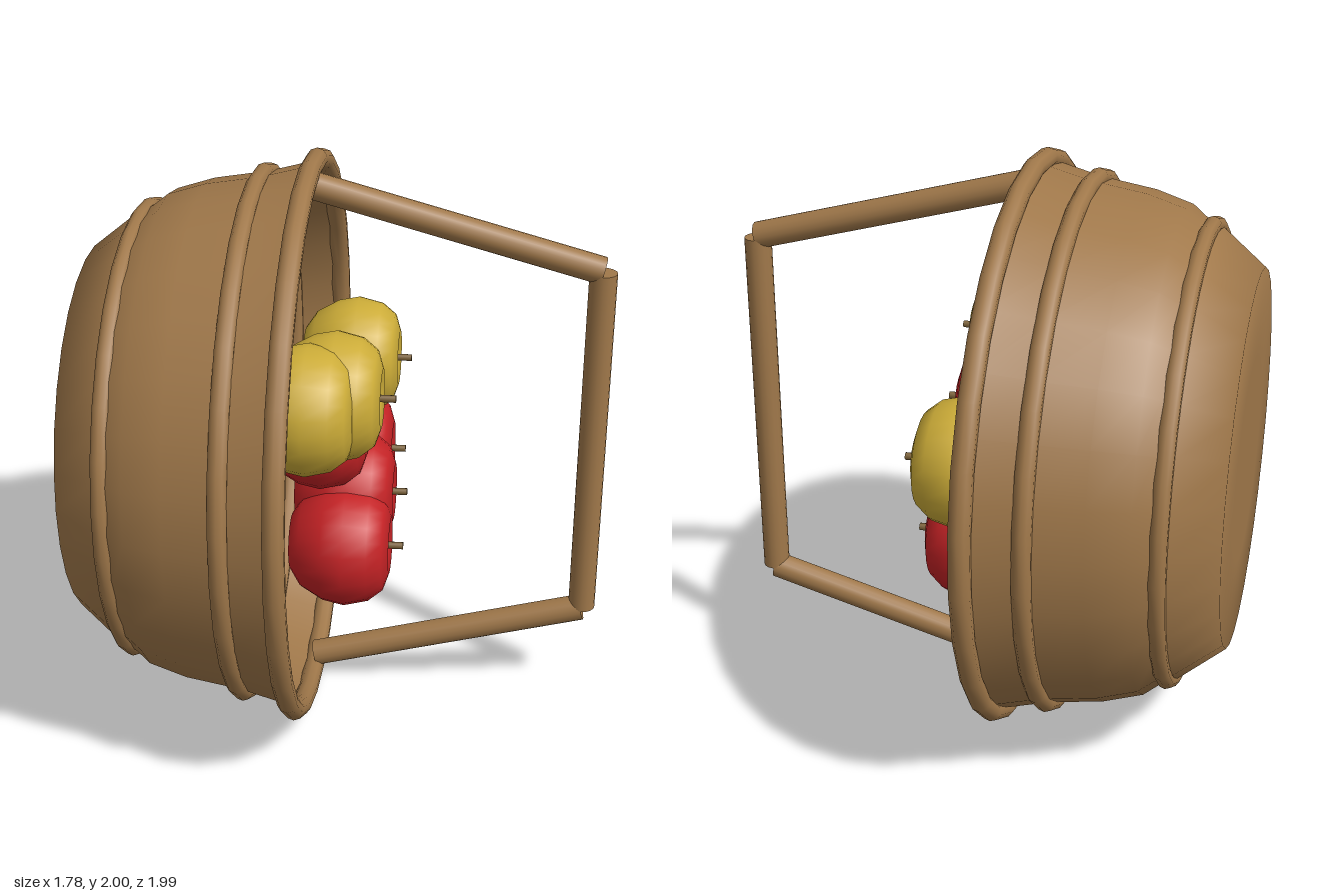
import * as THREE from 'three';

const mat = (name, color, side = THREE.FrontSide) => {
  const m = new THREE.MeshStandardMaterial({ color, side });
  m.name = name;
  return m;
};
const v2 = ([r, h]) => new THREE.Vector2(r, h);

export function createModel() {
  const model = new THREE.Group();
  model.name = 'tippedFruitBasket';
  const wood = mat('wickerBrown', 0xa0784a, THREE.DoubleSide);
  const red = mat('appleRed', 0xc42225);
  const yellow = mat('appleYellow', 0xccac38);
  const stemBrown = mat('stemBrown', 0x7d6238);

  const add = (parent, name, geometry, material) => {
    const mesh = new THREE.Mesh(geometry, material);
    mesh.name = name;
    parent.add(mesh);
    return mesh;
  };

  // Basket lies on its side: its upright axis is turned to point along +x
  const basket = new THREE.Group();
  basket.name = 'basket';
  basket.position.y = 1;
  basket.rotation.z = -Math.PI / 2;
  model.add(basket);

  // Thin bowl wall with a flat base
  const wall = [[0, -0.89], [0.35, -0.89], [0.65, -0.89], [0.77, -0.74], [0.8, -0.68],
    [0.84, -0.63], [0.88, -0.5], [0.91, -0.31], [0.955, -0.135]].map(v2);
  add(basket, 'bowl', new THREE.LatheGeometry(wall, 30), wood);

  // Rim and two raised bands
  for (const [name, radius, tube, h] of [['rim', 0.962, 0.036, -0.135],
    ['upperBand', 0.91, 0.032, -0.315], ['lowerBand', 0.78, 0.03, -0.71]]) {
    const ring = add(basket, name, new THREE.TorusGeometry(radius, tube, 10, 30), wood);
    ring.rotation.x = Math.PI / 2;
    ring.position.y = h;
  }

  // Handle: two slanted arms joined by a straight grip
  const rod = (name, a, b) => {
    const from = new THREE.Vector3(...a), to = new THREE.Vector3(...b);
    const dir = to.clone().sub(from);
    const mesh = add(model, name, new THREE.CylinderGeometry(0.047, 0.047, dir.length(), 16), wood);
    mesh.position.copy(from).add(to).multiplyScalar(0.5);
    mesh.quaternion.setFromUnitVectors(new THREE.Vector3(0, 1, 0), dir.normalize());
  };
  for (const s of [1, -1]) {
    rod(s > 0 ? 'upperHandleArm' : 'lowerHandleArm',
      [-0.13, 1 + s * 0.915, 0], [0.84, 1 + s * 0.652, 0]);
  }
  rod('handleGrip', [0.842, 0.355, 0], [0.842, 1.645, 0]);

  // Apples: dimpled lathe bodies with short stems, all facing out of the basket
  const profile = [[0, -0.15], [0.05, -0.19], [0.1, -0.195], [0.16, -0.155], [0.205, -0.075],
    [0.22, 0], [0.2, 0.085], [0.16, 0.135], [0.1, 0.155], [0.05, 0.145], [0.02, 0.115], [0, 0.1]].map(v2);
  const body = new THREE.LatheGeometry(profile, 24);
  const stem = new THREE.CylinderGeometry(0.013, 0.013, 0.12, 8);
  const apples = [
    [red, 0, 0.64, 0.13], [red, 0, 0.765, -0.04], [red, -0.03, 0.78, -0.35],
    [red, -0.05, 1.135, -0.03], [red, -0.09, 1.06, 0.055],
    [yellow, -0.02, 1.28, 0.275], [yellow, -0.1, 1.28, 0.385], [yellow, -0.02, 1.1, -0.465],
  ];
  apples.forEach(([skin, x, y, z], i) => {
    const apple = new THREE.Group();
    apple.name = (skin === red ? 'redApple' : 'yellowApple') + (i + 1);
    apple.position.set(x, y, z);
    apple.rotation.z = -Math.PI / 2;
    add(apple, 'appleBody', body, skin);
    add(apple, 'appleStem', stem, stemBrown).position.y = 0.14;
    model.add(apple);
  });
  return model;
}
